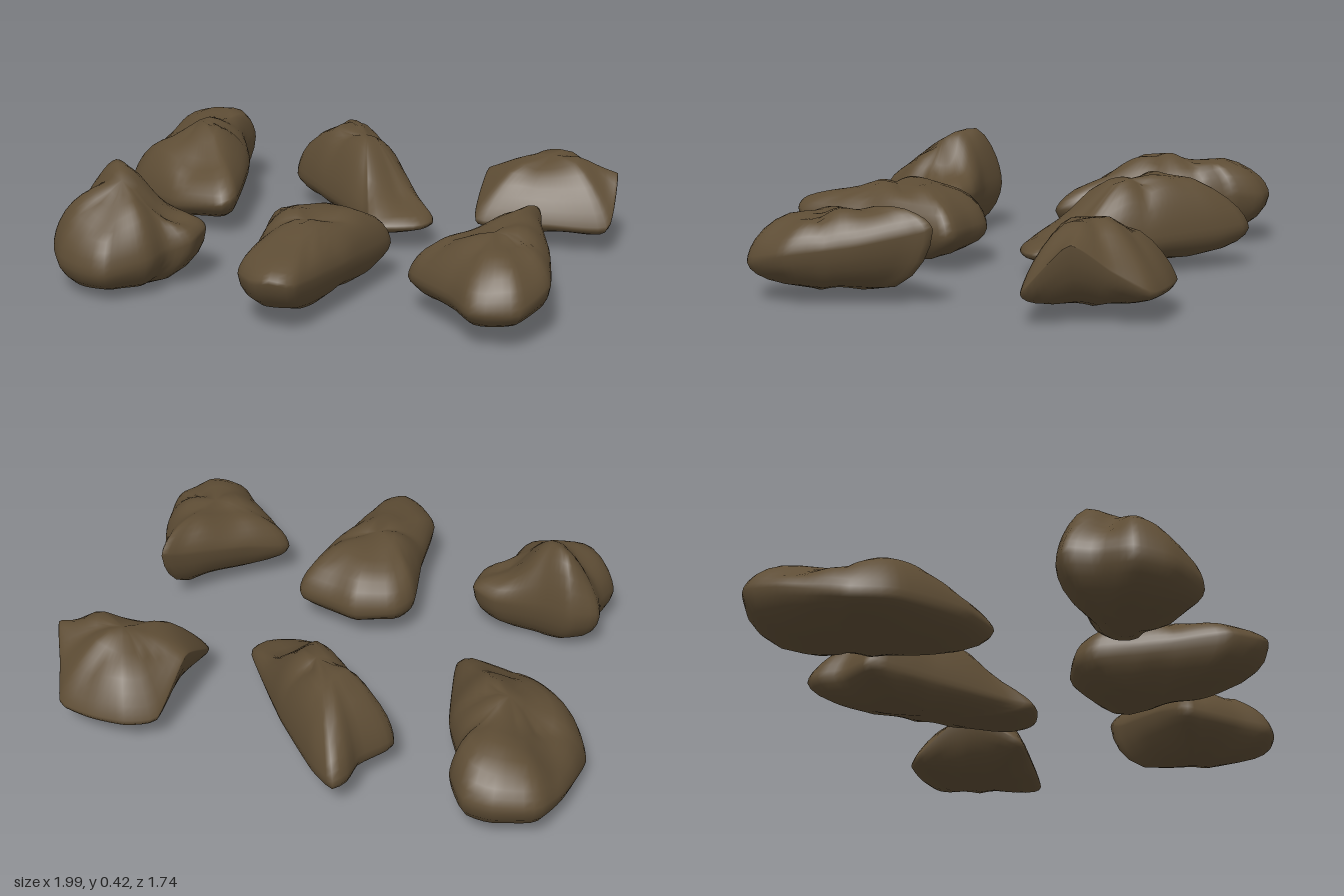
import * as THREE from 'three';
import { mergeVertices } from 'three/addons/utils/BufferGeometryUtils.js';

// Smooth height field through a rock's high points [x, y, z]
function topHeight(tops, x, z) {
  let sum = 0, weight = 0;
  for (const [tx, ty, tz] of tops) {
    const w = 1 / ((x - tx) ** 2 + (z - tz) ** 2 + 0.01) ** 1.7;
    sum += w * ty;
    weight += w;
  }
  return sum / weight;
}

// Irregular dents and ridges
function dent(x, y, z) {
  const ridge = Math.abs(Math.sin(x * 11 + z * 7 + Math.sin(z * 13) * 1.2));
  const ripple = Math.sin(x * 21 - z * 15 + y * 12 + 1.3);
  return (ridge - 0.6) * 0.02 + ripple * 0.008;
}

// rim: widest outline [x, z, lift], counter-clockwise from above, lifted over height rimY, tilted along z.
// blunt: how boxy (high) or tent-like (low) the crown is
function rockGeometry({ rim, rimY, tiltZ, tops, floor, blunt }) {
  const points = rim.map(([x, z, lift = 0]) => new THREE.Vector3(x, rimY + lift, z));
  const outline = new THREE.CatmullRomCurve3(points, true, 'catmullrom', 0.25).getSpacedPoints(64).slice(0, -1);
  const n = outline.length;
  const centre = new THREE.Vector3();
  outline.forEach((p) => centre.addScaledVector(p, 1 / n));

  // Rings run from the underside's centre, out to the rim and up to the crown
  const under = [0, 0.35, 0.6, 0.78, 0.9, 0.97];
  const scales = [...under, 1, 0.99, 0.96, 0.91, 0.82, 0.7, 0.56, 0.4, 0.2, 0];
  const positions = [], index = [];
  scales.forEach((k, j) => {
    const below = j < under.length;
    const rise = below ? (1 - k ** 3) ** 0.6 : (1 - k ** blunt) ** (0.25 + 0.9 / blunt);
    outline.forEach((p, i) => {
      const dz = (p.z - centre.z) * k;
      const x = centre.x + (p.x - centre.x) * k, z = centre.z + dz;
      const base = centre.y + (p.y - centre.y) * k + tiltZ * dz;
      const goal = below ? floor : topHeight(tops, x, z);
      const bump = dent(x, below ? -base : base, z) * (below ? 0.5 : 1);
      positions.push(x, Math.max(0, base + (goal - base + bump) * rise), z);
      if (j === scales.length - 1) return;
      const a = j * n + i, b = j * n + (i + 1) % n;
      if (k > 0) index.push(a, b, b + n);
      if (scales[j + 1] > 0) index.push(a, b + n, a + n);
    });
  });
  const geometry = new THREE.BufferGeometry();
  geometry.setAttribute('position', new THREE.Float32BufferAttribute(positions, 3));
  geometry.setIndex(index);
  const merged = mergeVertices(geometry, 1e-5);
  merged.computeVertexNormals();
  return merged;
}

export function createModel() {
  const group = new THREE.Group();
  group.name = 'rocks';
  const stone = new THREE.MeshStandardMaterial({ color: 0x5e4d35 });
  stone.name = 'brown stone';
  const addRock = (name, shape) => {
    const mesh = new THREE.Mesh(rockGeometry(shape), stone);
    mesh.name = name;
    group.add(mesh);
  };

  // Long rock with a hump at the back
  addRock('backRightRock', {
    rim: [[-0.76, -0.87], [-0.91, -0.82], [-0.97, -0.66, -0.02], [-1, -0.4, -0.06], [-0.93, -0.25, -0.04], [-0.7, -0.08],
      [-0.49, -0.04, 0.03], [-0.45, -0.1, 0.04], [-0.51, -0.45, 0.04], [-0.59, -0.64, 0.03], [-0.58, -0.74, 0.03], [-0.65, -0.85]],
    rimY: 0.14, tiltZ: -0.1, floor: 0.01, blunt: 2.8,
    tops: [[-0.64, 0.38, -0.74], [-0.68, 0.35, -0.42], [-0.87, 0.25, -0.5], [-0.56, 0.26, -0.15]],
  });

  // Narrow slanting rock, highest near its back
  addRock('backMiddleRock', {
    rim: [[-0.2, -0.85], [-0.24, -0.79], [-0.25, -0.69], [-0.33, -0.58], [-0.32, -0.51], [0.05, -0.13],
      [0.1, -0.05], [0.18, -0.05], [0.29, -0.09], [0.32, -0.18], [0.1, -0.52], [-0.1, -0.77]],
    rimY: 0.12, tiltZ: -0.06, floor: 0.04, blunt: 2.4,
    tops: [[-0.14, 0.38, -0.6], [0, 0.34, -0.43], [0.22, 0.19, -0.16]],
  });

  // Tent-like block with steep ends
  addRock('backLeftRock', {
    rim: [[0.75, -0.7], [0.62, -0.7], [0.52, -0.64], [0.48, -0.43, 0.14], [0.48, -0.2], [0.75, -0.21],
      [0.98, -0.24], [0.99, -0.4, 0.17], [0.94, -0.53, 0.08], [0.89, -0.66]],
    rimY: 0.11, tiltZ: 0, floor: 0.05, blunt: 1.7,
    tops: [[0.56, 0.34, -0.45], [0.9, 0.36, -0.44], [0.73, 0.33, -0.45]],
  });

  // Tall stubby rock with a shoulder on one side
  addRock('frontRightRock', {
    rim: [[-0.81, 0.26], [-0.91, 0.31], [-0.9, 0.42], [-0.93, 0.55], [-0.86, 0.67], [-0.77, 0.72], [-0.66, 0.74],
      [-0.53, 0.63], [-0.5, 0.53], [-0.42, 0.48, 0.02], [-0.41, 0.35, 0.02], [-0.5, 0.3], [-0.67, 0.3]],
    rimY: 0.15, tiltZ: -0.15, floor: 0, blunt: 2.8,
    tops: [[-0.74, 0.49, 0.36], [-0.74, 0.39, 0.52], [-0.51, 0.25, 0.41], [-0.68, 0.27, 0.64], [-0.86, 0.3, 0.44]],
  });

  // Long rounded rock
  addRock('frontMiddleRock', {
    rim: [[0, 0.12], [-0.15, 0.17], [-0.2, 0.26], [-0.17, 0.5], [-0.16, 0.74], [-0.08, 0.84],
      [0, 0.87, 0.02], [0.07, 0.84], [0.13, 0.66], [0.19, 0.45], [0.25, 0.2], [0.1, 0.15]],
    rimY: 0.16, tiltZ: 0.06, floor: 0.03, blunt: 3,
    tops: [[0.02, 0.31, 0.35], [-0.02, 0.28, 0.75]],
  });

  // Kite-shaped rock with a raised spur at the back
  addRock('frontLeftRock', {
    rim: [[0.78, 0.11, 0.04], [0.72, 0.17, 0.02], [0.52, 0.35], [0.38, 0.49, -0.04], [0.57, 0.68, -0.01], [0.65, 0.78],
      [0.72, 0.79], [0.83, 0.76], [0.9, 0.6, 0.02], [0.86, 0.37, 0.02], [0.8, 0.2, 0.03]],
    rimY: 0.18, tiltZ: -0.14, floor: 0.04, blunt: 2.6,
    tops: [[0.76, 0.38, 0.22], [0.53, 0.29, 0.48], [0.77, 0.31, 0.6], [0.72, 0.33, 0.4]],
  });
  return group;
}
